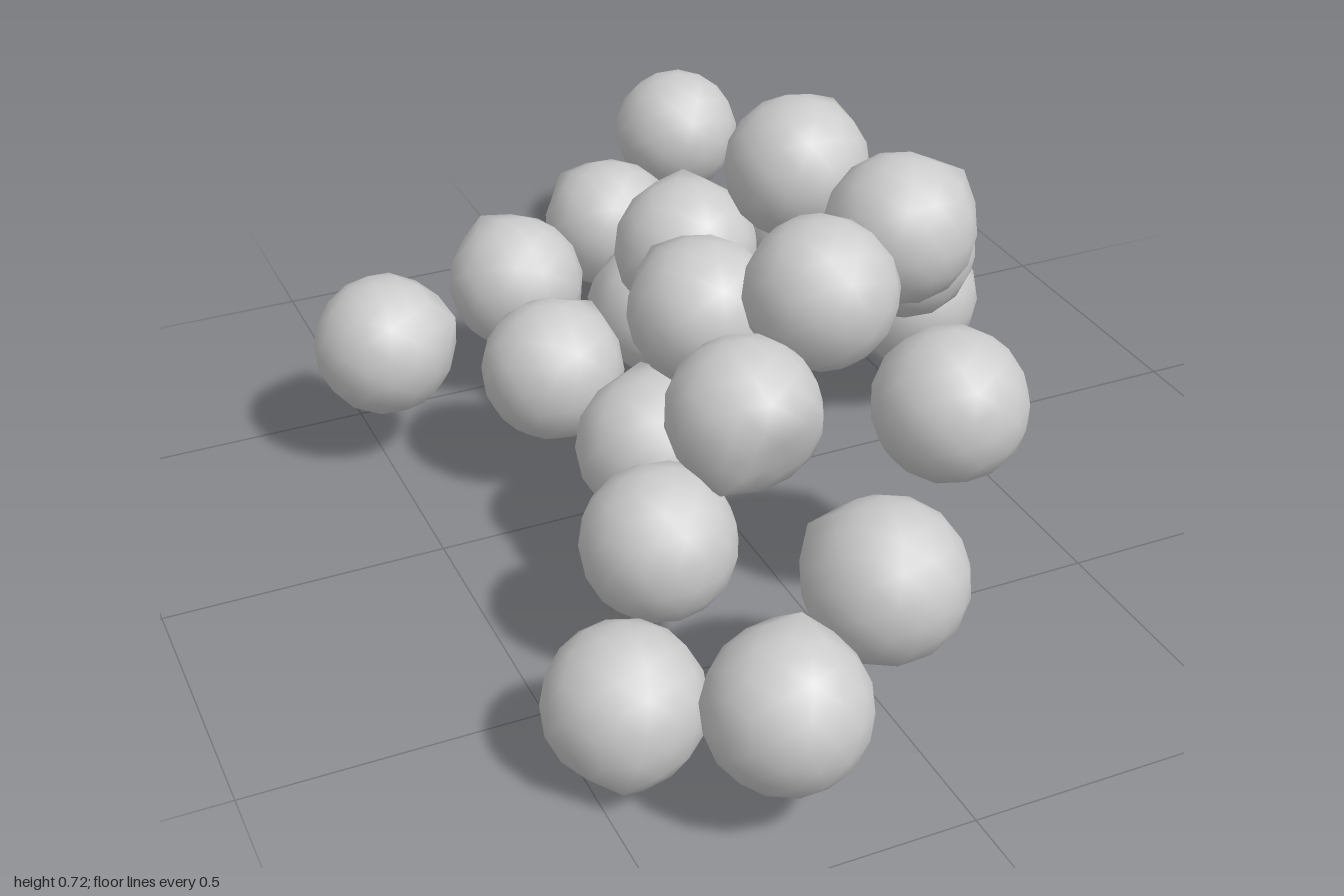
import * as THREE from 'three';
import { mergeVertices } from 'three/addons/utils/BufferGeometryUtils.js';

const RADIUS = 0.13;

// One rounded stone: a coarse ball with a flat facet toward +z and blunt corners around it
function stoneGeometry() {
  let geo = new THREE.IcosahedronGeometry(1, 2);
  geo.deleteAttribute('uv');
  geo.deleteAttribute('normal');
  geo = mergeVertices(geo, 1e-4);
  const corners = [0.4, 2.3, 4.4].map((a) =>
    new THREE.Vector3().setFromSphericalCoords(1, 0.85, a).applyAxisAngle(new THREE.Vector3(1, 0, 0), Math.PI / 2));
  const pos = geo.attributes.position;
  const p = new THREE.Vector3();
  for (let i = 0; i < pos.count; i++) {
    p.fromBufferAttribute(pos, i).normalize();
    let r = 1;
    for (const c of corners) r += 0.14 * Math.exp(-(p.angleTo(c) ** 2) / 0.06);
    p.multiplyScalar(r * RADIUS);
    const limit = RADIUS * 0.78;
    if (p.z > limit) p.z = limit + (p.z - limit) * 0.2; // flat facet
    pos.setXYZ(i, p.x, p.y, p.z);
  }
  geo.computeVertexNormals();
  return geo;
}

// Each stone: centre, then the direction its flat facet faces
const STONES = [
  // outlying ground stones at the back
  [[0.335, 0.30, -0.87], [0.2, -0.6, -0.75]],
  [[0.08, 0.24, -0.63], [0.4, 0.2, -1]],
  [[-0.18, 0.24, -0.47], [0.3, 0.2, -1]],
  [[-0.485, 0.24, -0.34], [0.9, 0.1, -0.5]],
  [[0.33, 0.24, -0.42], [0.7, 0, -0.7]],
  [[-0.235, 0.24, -0.13], [0.5, 0, -1]],
  [[0.035, 0.24, -0.27], [0, 0.2, -1]],
  // heap in the middle
  [[0.29, 0.43, -0.20], [0.6, 0, -0.8]],
  [[0.485, 0.245, -0.105], [0.3, 0, -1]],
  [[0.39, 0.43, 0.03], [0.6, 0.4, -0.7]],
  [[0.02, 0.44, -0.11], [0.5, 0, -1]],
  [[0.20, 0.60, -0.03], [0.4, 0, -1]],
  [[-0.06, 0.455, 0.14], [0.3, 0, -1]],
  [[-0.175, 0.24, 0.18], [0.3, 0, -1]],
  [[0.255, 0.595, 0.245], [0.8, 0, -0.5]],
  [[0.07, 0.55, 0.32], [0.6, 0, -0.7]],
  // front slope
  [[-0.11, 0.415, 0.41], [0.2, -0.4, 1]],
  [[-0.275, 0.235, 0.445], [0.5, 0, -1]],
  [[0.205, 0.415, 0.52], [0.6, -0.5, -0.6]],
  [[-0.43, 0.125, 0.67], [-0.3, -1, 0]],
  [[-0.255, 0.205, 0.87], [0.6, 0.2, -0.8]],
  [[-0.045, 0.31, 0.775], [-0.5, -0.5, -0.7]],
];

export function createModel() {
  const group = new THREE.Group();
  group.name = 'stoneHeap';
  const geometry = stoneGeometry();
  const material = new THREE.MeshStandardMaterial({ color: 0xcccccc });
  const forward = new THREE.Vector3(0, 0, 1);
  STONES.forEach(([centre, facing], i) => {
    const stone = new THREE.Mesh(geometry, material);
    stone.name = `stone${i + 1}`;
    stone.position.set(...centre);
    stone.quaternion.setFromUnitVectors(forward, new THREE.Vector3(...facing).normalize());
    stone.rotateZ(i * 0.7); // vary where the corners fall
    group.add(stone);
  });
  return group;
}
